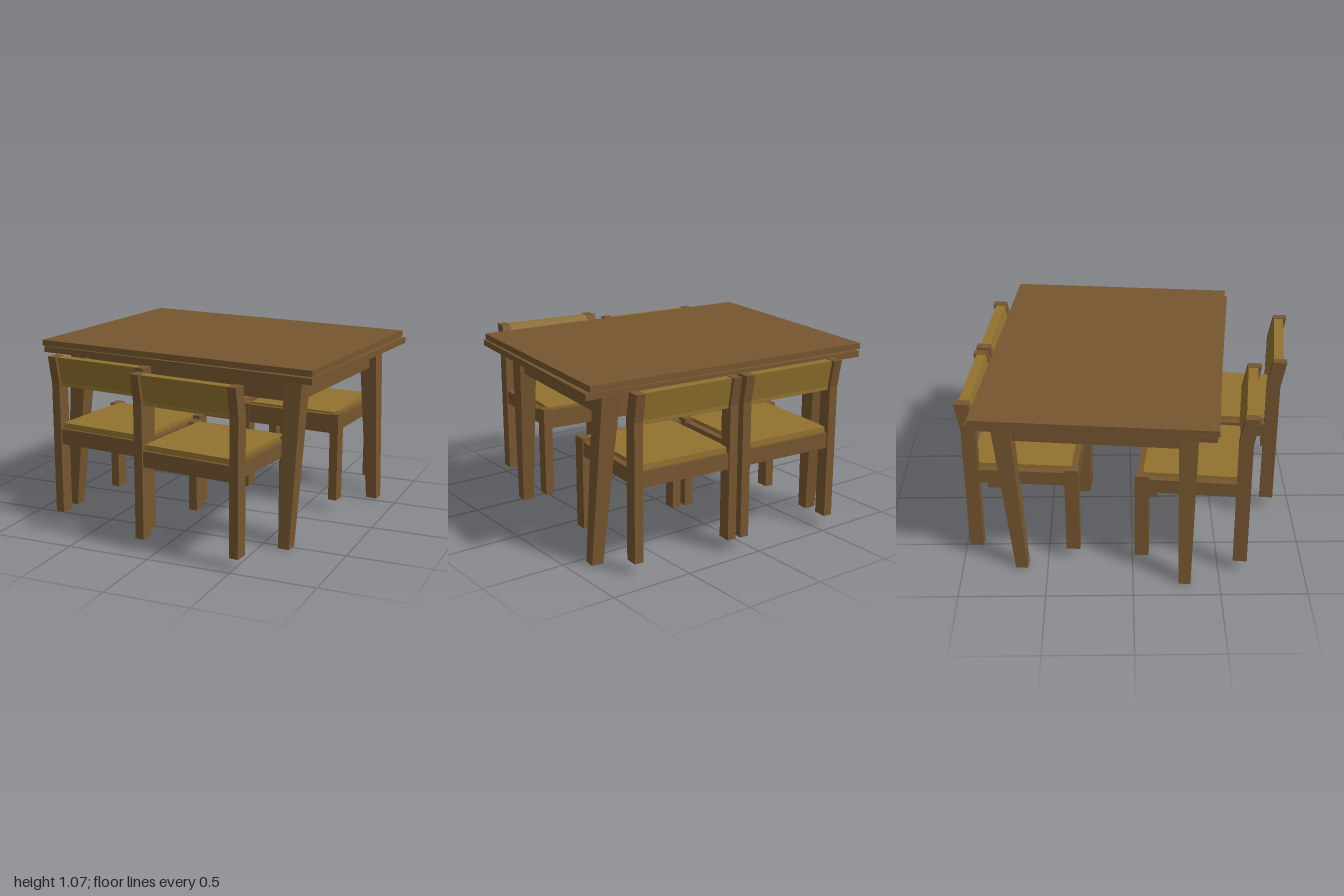
import * as THREE from 'three';

const brown = new THREE.MeshStandardMaterial({ color: 0x765630, flatShading: true });
const gold = new THREE.MeshStandardMaterial({ color: 0x92722f, flatShading: true });

function add(parent, name, geometry, material = brown) {
  const mesh = new THREE.Mesh(geometry, material);
  mesh.name = name;
  parent.add(mesh);
  return mesh;
}

// Box given by its limits on each axis
function box(x0, x1, y0, y1, z0, z1) {
  return new THREE.BoxGeometry(x1 - x0, y1 - y0, z1 - z0)
    .translate((x0 + x1) / 2, (y0 + y1) / 2, (z0 + z1) / 2);
}

// Side profile of [z, y] points, extruded across x
function profile(points, x0, x1) {
  const shape = new THREE.Shape(points.map(([z, y]) => new THREE.Vector2(z, y)));
  return new THREE.ExtrudeGeometry(shape, { depth: x1 - x0, bevelEnabled: false })
    .rotateY(-Math.PI / 2).translate(x1, 0, 0);
}

// Tapered leg from top centre to foot centre, turned by angle
function taperedLeg(top, foot, height, wTop, wFoot, angle) {
  const g = new THREE.BoxGeometry(1, 1, 1).rotateY(angle);
  const p = g.attributes.position;
  for (let i = 0; i < p.count; i++) {
    const up = p.getY(i) > 0;
    const w = up ? wTop : wFoot;
    const c = up ? top : foot;
    p.setXYZ(i, c[0] + p.getX(i) * w, up ? height : 0, c[1] + p.getZ(i) * w);
  }
  return g;
}

function createTable() {
  const table = new THREE.Group();
  table.name = 'table';

  // Upper top, and the sliding leaves a little askew beneath it
  const top = add(table, 'tableTop', box(-0.9, 0.9, 1.038, 1.073, -0.68, 0.68));
  top.position.set(-0.012, 0, -0.134);
  top.rotation.y = -0.094;
  const leaves = new THREE.Group();
  leaves.name = 'leaves';
  for (const s of [-1, 1]) {
    add(leaves, 'leaf', box(-0.45, 0.45, 0.997, 1.033, -0.685, 0.685)).position.x = s * 0.45;
  }
  leaves.position.set(0.003, 0, -0.135);
  leaves.rotation.y = -0.108;
  table.add(leaves);

  // Apron and the runners that carry the leaves
  const frame = new THREE.Group();
  frame.name = 'frame';
  frame.position.set(0, 0, -0.135);
  frame.rotation.y = -0.101;
  for (const s of [-1, 1]) {
    add(frame, 'longApron', box(-0.72, 0.72, 0.85, 0.997, -0.02, 0.02)).position.z = s * 0.52;
    add(frame, 'endApron', box(-0.02, 0.02, 0.85, 0.997, -0.52, 0.52)).position.x = s * 0.72;
    add(frame, 'runner', box(-0.755, 0.755, 0.95, 0.99, -0.018, 0.018)).position.z = s * 0.345;
  }
  table.add(frame);

  // Legs: top centre and foot centre, each leaning its own way
  const legs = [
    [[-0.772, 0.31], [-0.865, 0.30]],
    [[0.665, 0.43], [0.642, 0.51]],
    [[0.775, -0.62], [0.838, -0.575]],
    [[-0.65, -0.735], [-0.70, -0.65]],
  ];
  for (const [a, b] of legs) add(table, 'tableLeg', taperedLeg(a, b, 0.997, 0.11, 0.07, -0.101));
  return table;
}

// Chair facing +z
function createChair() {
  const chair = new THREE.Group();
  chair.name = 'chair';
  const lean = -0.03;
  for (const s of [-1, 1]) {
    const x0 = s * 0.306 - 0.027, x1 = s * 0.306 + 0.027;
    // Rear post bends backwards above the seat
    add(chair, 'rearPost', profile([
      [-0.33, 0.07], [-0.248, 0.07], [-0.248, 0.87],
      [-0.248 + lean, 1.03], [-0.33 + lean, 1.03], [-0.33, 0.87],
    ], x0, x1));
    add(chair, 'frontLeg', box(x0, x1, 0.07, 0.62, 0.248, 0.33));
    add(chair, 'sideRail', box(s * 0.306 - 0.02, s * 0.306 + 0.02, 0.515, 0.6, -0.25, 0.25));
  }
  add(chair, 'backRail', box(-0.28, 0.28, 0.497, 0.59, -0.32, -0.285));
  add(chair, 'frontRail', box(-0.28, 0.28, 0.497, 0.612, 0.285, 0.32));
  add(chair, 'seat', box(-0.284, 0.284, 0.575, 0.622, -0.3, 0.285), gold);
  // Backrest follows the bend of the posts
  add(chair, 'backrest', profile([
    [-0.31, 0.85], [-0.253, 0.85], [-0.253, 0.87],
    [-0.253 + lean, 1.027], [-0.31 + lean, 1.027], [-0.31, 0.87],
  ], -0.282, 0.282), gold);
  return chair;
}

export function createModel() {
  const model = new THREE.Group();
  model.name = 'diningSet';
  model.add(createTable());

  // Chairs: x, z, turn
  const places = [
    [0.242, 0.602, Math.PI - 0.115],
    [-0.416, 0.376, Math.PI - 0.115],
    [-0.292, -0.612, -0.082],
    [0.403, -0.553, -0.082],
  ];
  for (const [x, z, turn] of places) {
    const chair = createChair();
    chair.position.set(x, 0, z);
    chair.rotation.y = turn;
    model.add(chair);
  }
  return model;
}
